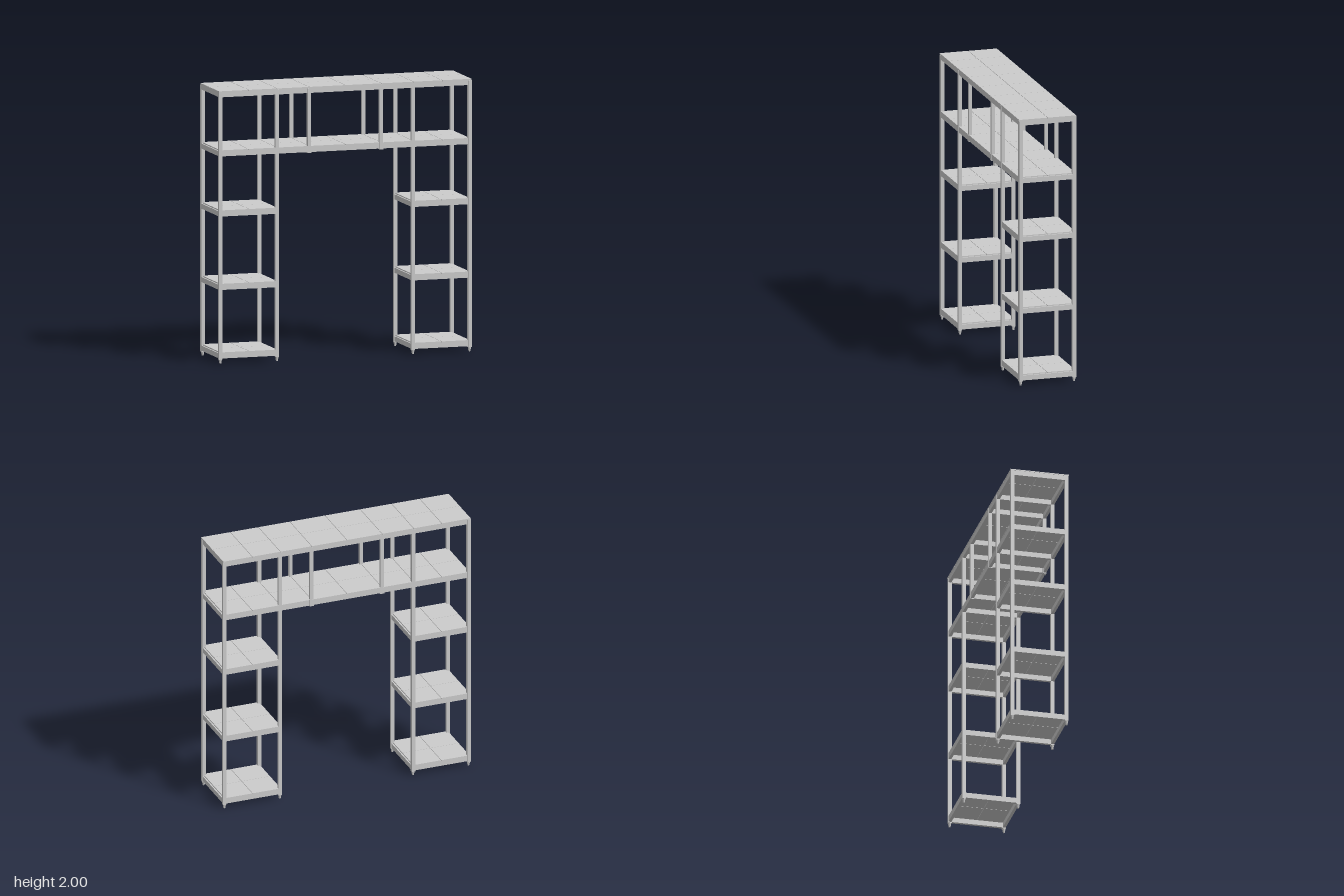
import * as THREE from 'three';

const mat = new THREE.MeshStandardMaterial({ color: 0xcccccc, flatShading: true });
const POST = 0.027;           // square post width
const PX = [0.953, 0.52];     // outer and inner post positions
const PZ = 0.203;             // front and back post line
const HANG = 0.275;           // hanging post position
const RAIL_H = 0.045;
const RAIL_T = 0.022;
const PANEL_T = 0.008;

// box given by its limits on each axis
function box(parent, name, x0, x1, y0, y1, z0, z1) {
  const mesh = new THREE.Mesh(new THREE.BoxGeometry(x1 - x0, y1 - y0, z1 - z0), mat);
  mesh.position.set((x0 + x1) / 2, (y0 + y1) / 2, (z0 + z1) / 2);
  mesh.name = name;
  parent.add(mesh);
}

// rail frame topped with two rows of panels split at the given seams
function shelf(name, top, seams, bars, edge) {
  const g = new THREE.Group();
  g.name = name;
  const x0 = seams[0], x1 = seams[seams.length - 1];
  const y0 = top - RAIL_H, y1 = top - PANEL_T, gap = 0.0015;
  for (const s of [-1, 1]) {
    const z = s * PZ;
    box(g, 'longRail', x0, x1, y0, y1, z - RAIL_T / 2, z + RAIL_T / 2);
    for (let i = 0; i < seams.length - 1; i++) {
      const a = seams[i] + (i ? gap : 0);
      const b = seams[i + 1] - (i < seams.length - 2 ? gap : 0);
      const zs = [s * gap, s * edge].sort((p, q) => p - q);
      box(g, 'panel', a, b, y1, top, zs[0], zs[1]);
    }
  }
  for (const x of bars) {
    box(g, 'crossRail', x - RAIL_T / 2, x + RAIL_T / 2, y0, y1, -PZ, PZ);
  }
  return g;
}

export function createModel() {
  const model = new THREE.Group();
  model.name = 'shelvingUnit';
  const h = POST / 2;

  // tower posts with tapered feet
  const footGeo = new THREE.CylinderGeometry(0.013, 0.007, 0.032, 12);
  for (const sx of [-1, 1]) for (const sz of [-1, 1]) {
    for (const px of PX) {
      const x = sx * px, z = sz * PZ;
      box(model, 'post', x - h, x + h, 0.03, 1.99, z - h, z + h);
      const foot = new THREE.Mesh(footGeo, mat);
      foot.name = 'foot';
      foot.position.set(x, 0.016, z);
      model.add(foot);
    }
    // hanging posts of the bridge, with a bracket at the lower end
    const x = sx * HANG, z = sz * PZ;
    box(model, 'hangingPost', x - 0.0125, x + 0.0125, 1.53, 1.99, z - 0.0125, z + 0.0125);
    box(model, 'hangerBracket', x - 0.016, x + 0.016, 1.515, 1.566, z - 0.014, z + 0.014);
  }

  // small shelves of the two towers
  for (const s of [-1, 1]) {
    const ends = PX.map((x) => s * x).sort((a, b) => a - b);
    const seams = [ends[0], (ends[0] + ends[1]) / 2, ends[1]];
    for (const top of [0.083, 0.586, 1.125]) {
      model.add(shelf('towerShelf', top, seams, ends, PZ + 0.011));
    }
  }

  // long shelf and top running across both towers
  const bars = [-PX[0], -PX[1], -HANG, HANG, PX[1], PX[0]];
  const inner = [-0.74, -0.52, -HANG, 0, HANG, 0.52, 0.74];
  model.add(shelf('bridgeShelf', 1.566, [-PX[0], ...inner, PX[0]], bars, PZ + 0.011));
  model.add(shelf('topShelf', 2.0, [-0.966, ...inner, 0.966], bars, 0.217));
  return model;
}
